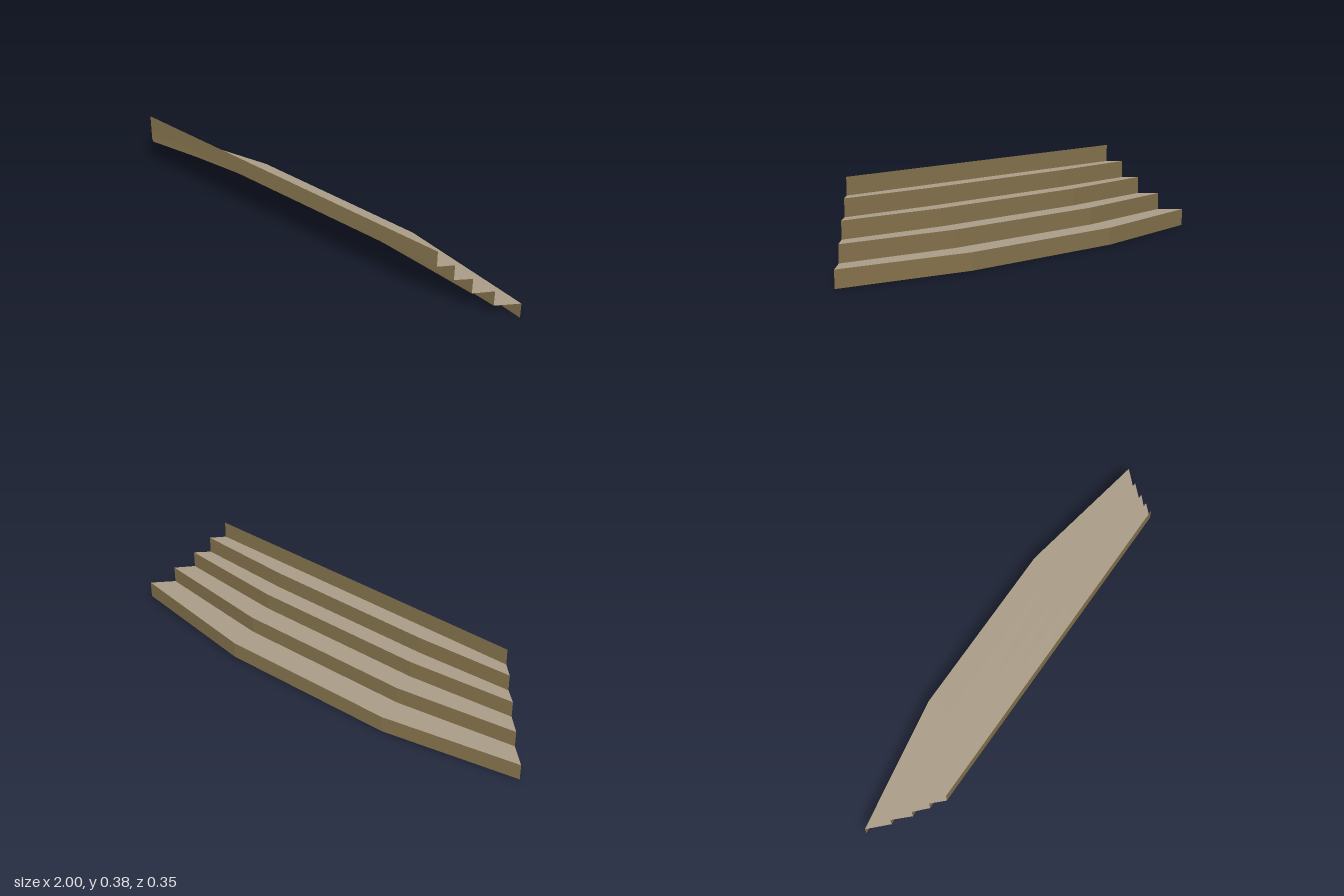
import * as THREE from 'three';

const RISE = 0.075;

// Each step edge: half-width at the ends, z at the ends, half-width of the straight middle, z of the middle
const STEPS = [
  { endX: 1.0, endZ: -0.073, midX: 0.4, midZ: -0.178 },
  { endX: 0.92, endZ: 0.006, midX: 0.39, midZ: -0.065 },
  { endX: 0.855, endZ: 0.073, midX: 0.385, midZ: 0.03 },
  { endX: 0.8, endZ: 0.125, midX: 0.375, midZ: 0.104 },
  { endX: 0.75, endZ: 0.176, midX: 0.37, midZ: 0.176 },
];

// Faceted edge line of one step at height y
function edgeLine({ endX, endZ, midX, midZ }, y) {
  return [[-endX, endZ], [-midX, midZ], [midX, midZ], [endX, endZ]]
    .map(([x, z]) => new THREE.Vector3(x, y, z));
}

// Flat-sided open strip between two edge lines
function strip(name, from, to, material) {
  const points = [];
  for (let i = 0; i < from.length - 1; i++) {
    points.push(from[i], to[i], from[i + 1], to[i], to[i + 1], from[i + 1]);
  }
  const geometry = new THREE.BufferGeometry().setFromPoints(points);
  geometry.computeVertexNormals();
  const mesh = new THREE.Mesh(geometry, material);
  mesh.name = name;
  return mesh;
}

export function createModel() {
  const riserMaterial = new THREE.MeshStandardMaterial({ color: 0x86734d, side: THREE.DoubleSide });
  riserMaterial.name = 'brown riser';
  const treadMaterial = new THREE.MeshStandardMaterial({ color: 0xaa9d88, side: THREE.DoubleSide });
  treadMaterial.name = 'pale tread';

  const model = new THREE.Group();
  model.name = 'curvedSteps';

  STEPS.forEach((step, i) => {
    const top = edgeLine(step, (i + 1) * RISE);
    // Upright face of the step
    model.add(strip(`riser${i + 1}`, edgeLine(step, i * RISE), top, riserMaterial));
    // Walking surface reaching to the next riser
    if (i < STEPS.length - 1) {
      model.add(strip(`tread${i + 1}`, top, edgeLine(STEPS[i + 1], (i + 1) * RISE), treadMaterial));
    }
  });
  return model;
}
